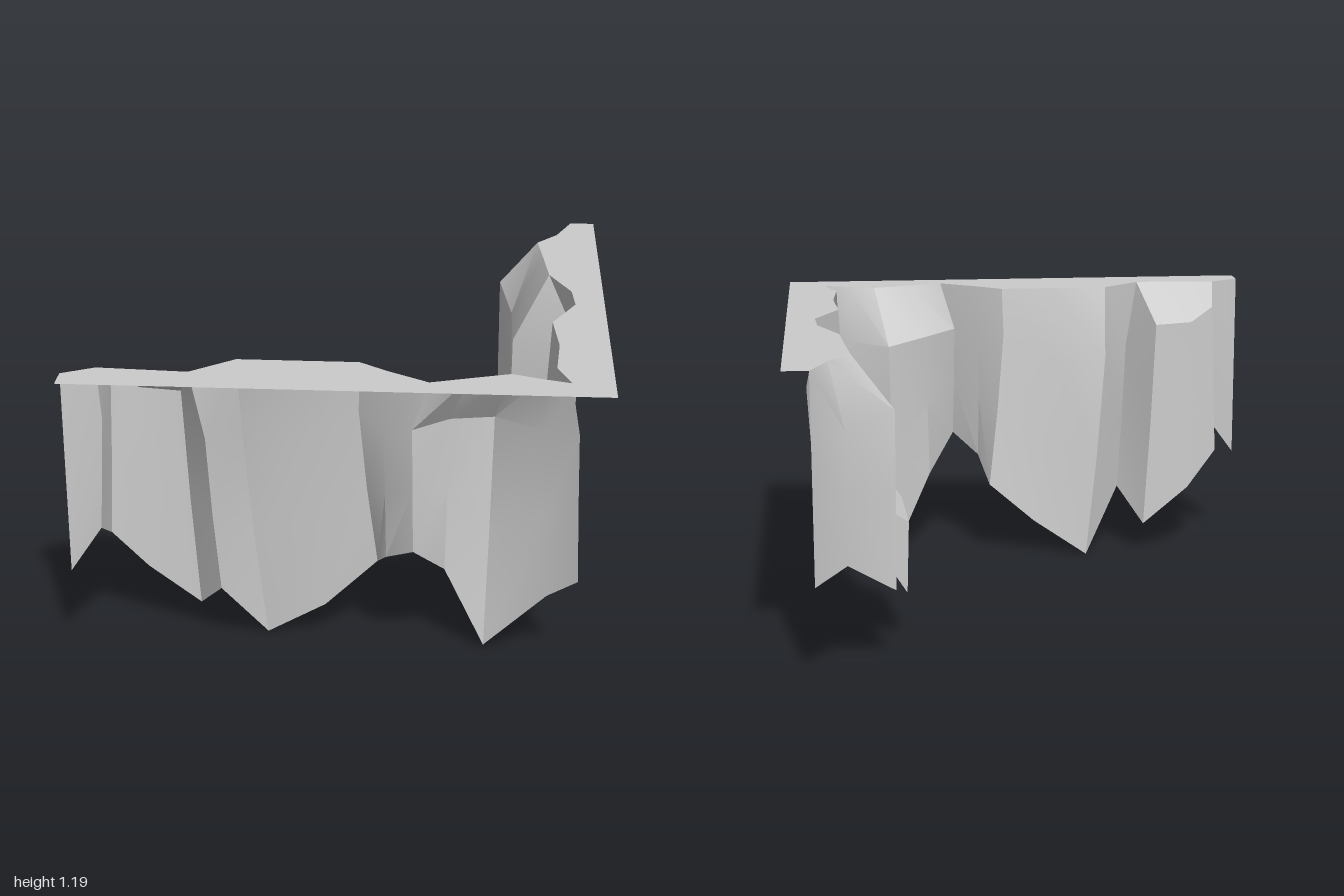
import * as THREE from 'three';
import { toCreasedNormals } from 'three/addons/utils/BufferGeometryUtils.js';

const TOP = 1.2;

// Rock columns: rim x,z | shoulder x,y,z | foot x,y,z | optional height of the middle ring (0..1)
const CORNER = [0.845, 0.875, 0.88, 1, 0.875, 0.9, 0.4, 0.87];
const FRONT = [
  [-1, 0.9, -1, 0.9, 0.9, -1, 0.4, 0.9],
  [-0.88, 0.835, -0.87, 1, 0.82, -0.895, 0.54, 0.815],
  [-0.88, 0.835, -0.855, 1.11, 0.69, -0.88, 0.46, 0.69],
  [-0.74, 0.843, -0.755, 1.05, 0.65, -0.75, 0.3, 0.65],
  [-0.54, 0.855, -0.6, 1.04, 0.65, -0.55, 0.14, 0.635],
  [-0.54, 0.855, -0.49, 0.92, 0.82, -0.45, 0.28, 0.78],
  [-0.38, 0.72, -0.375, 0.9, 0.65, -0.29, 0.01, 0.62],
  [-0.15, 0.72, -0.15, 0.9, 0.69, -0.06, 0.16, 0.66],
  [0.075, 0.72, 0.07, 1, 0.7, 0.14, 0.34, 0.63],
  [0.18, 0.8, 0.17, 0.95, 0.79, 0.18, 0.44, 0.79],
  [0.335, 0.9, 0.275, 1, 0.87, 0.285, 0.52, 0.9],
  [0.48, 0.85, 0.41, 0.99, 0.735, 0.4, 0.37, 0.74],
  [0.63, 0.8, 0.575, 0.965, 0.645, 0.555, 0.03, 0.71],
  [0.735, 0.84, 0.76, 0.97, 0.78, 0.79, 0.29, 0.78],
  CORNER,
];
const SIDE = [
  CORNER,
  [0.795, 0.73, 0.78, 0.8, 0.71, 0.76, 0.27, 0.7],
  [0.81, 0.5, 0.81, 0.9, 0.48, 0.79, 0.16, 0.5],
  [0.79, 0.255, 0.775, 0.87, 0.225, 0.785, 0.095, 0.275],
  [0.885, 0.05, 0.9, 0.95, 0.025, 0.88, 0.36, 0.03],
  [0.875, -0.1, 0.925, 0.95, -0.1, 0.89, 0.415, -0.11],
  [0.79, -0.3, 0.65, 0.92, -0.28, 0.645, 0.4, -0.24],
  [0.77, -0.52, 0.645, 0.95, -0.52, 0.65, 0.39, -0.58, 0.66],
  [0.75, -0.72, 0.595, 1, -0.77, 0.6, 0.315, -0.79],
  [0.835, -0.83, 0.78, 0.95, -0.87, 0.78, 0.44, -0.87],
  [0.9, -1, 0.9, 0.9, -1, 0.9, 0.4, -1],
];
const LEDGE_COLUMN = 6; // the side column where the small ledge starts

const V = (x, y, z) => new THREE.Vector3(x, y, z);

// Four rings per column: rim, shoulder, middle, foot
function columnPoints([tx, tz, sx, sy, sz, bx, by, bz, t = 0.5]) {
  const shoulder = V(sx, sy, sz);
  const foot = V(bx, by, bz);
  const middle = shoulder.clone().lerp(foot, t * 0.85);
  middle.y = THREE.MathUtils.lerp(sy, by, t);
  return [V(tx, TOP, tz), shoulder, middle, foot];
}

// Surface stretched between neighbouring columns of points
function loft(columns, skip = () => false) {
  const pos = [];
  const tri = (a, b, c) => {
    const area = b.clone().sub(a).cross(c.clone().sub(a)).length();
    if (area > 1e-6) pos.push(...a, ...b, ...c);
  };
  for (let i = 0; i < columns.length - 1; i++) {
    const left = columns[i], right = columns[i + 1];
    for (let r = 0; r < left.length - 1; r++) {
      if (skip(i, r)) continue;
      tri(left[r], right[r], left[r + 1]);
      tri(right[r], right[r + 1], left[r + 1]);
    }
  }
  const geo = new THREE.BufferGeometry();
  geo.setAttribute('position', new THREE.Float32BufferAttribute(pos, 3));
  return toCreasedNormals(geo, 0.5);
}

export function createModel() {
  const group = new THREE.Group();
  const rock = new THREE.MeshStandardMaterial({ color: 0xcccccc, side: THREE.DoubleSide });
  const add = (name, geo) => {
    const mesh = new THREE.Mesh(geo, rock);
    mesh.name = name;
    group.add(mesh);
  };

  // Cliff walls along the two inner sides of the corner
  const front = FRONT.map(columnPoints);
  const side = SIDE.map(columnPoints);
  add('frontCliffWall', loft(front));
  add('sideCliffWall', loft(side, (i, r) => i === LEDGE_COLUMN && r === 2));

  // Small ledge that juts out of the lower side wall
  const [, , rootA, footA] = side[LEDGE_COLUMN];
  const [, , rootB, footB] = side[LEDGE_COLUMN + 1];
  add('rockLedge', loft([
    [rootA, rootA, footA],
    [rootA, V(0.56, 0.545, -0.3), V(0.56, 0.32, -0.3)],
    [rootB, V(0.54, 0.495, -0.49), V(0.55, 0.215, -0.51)],
    [rootB, rootB, footB],
  ]));

  // Flat L-shaped top, bounded by the cliff rim and two straight outer edges
  const rim = [...front, ...side.slice(1)].map(([p]) => new THREE.Vector2(p.x, -p.z));
  const outline = [[1, -1], [1, 1], [-1, 1]].map(([x, z]) => new THREE.Vector2(x, -z));
  const points = [...rim, ...outline].filter((p, i, all) => i === 0 || !p.equals(all[i - 1]));
  add('flatTop', new THREE.ShapeGeometry(new THREE.Shape(points)).rotateX(-Math.PI / 2).translate(0, TOP, 0));

  return group;
}
